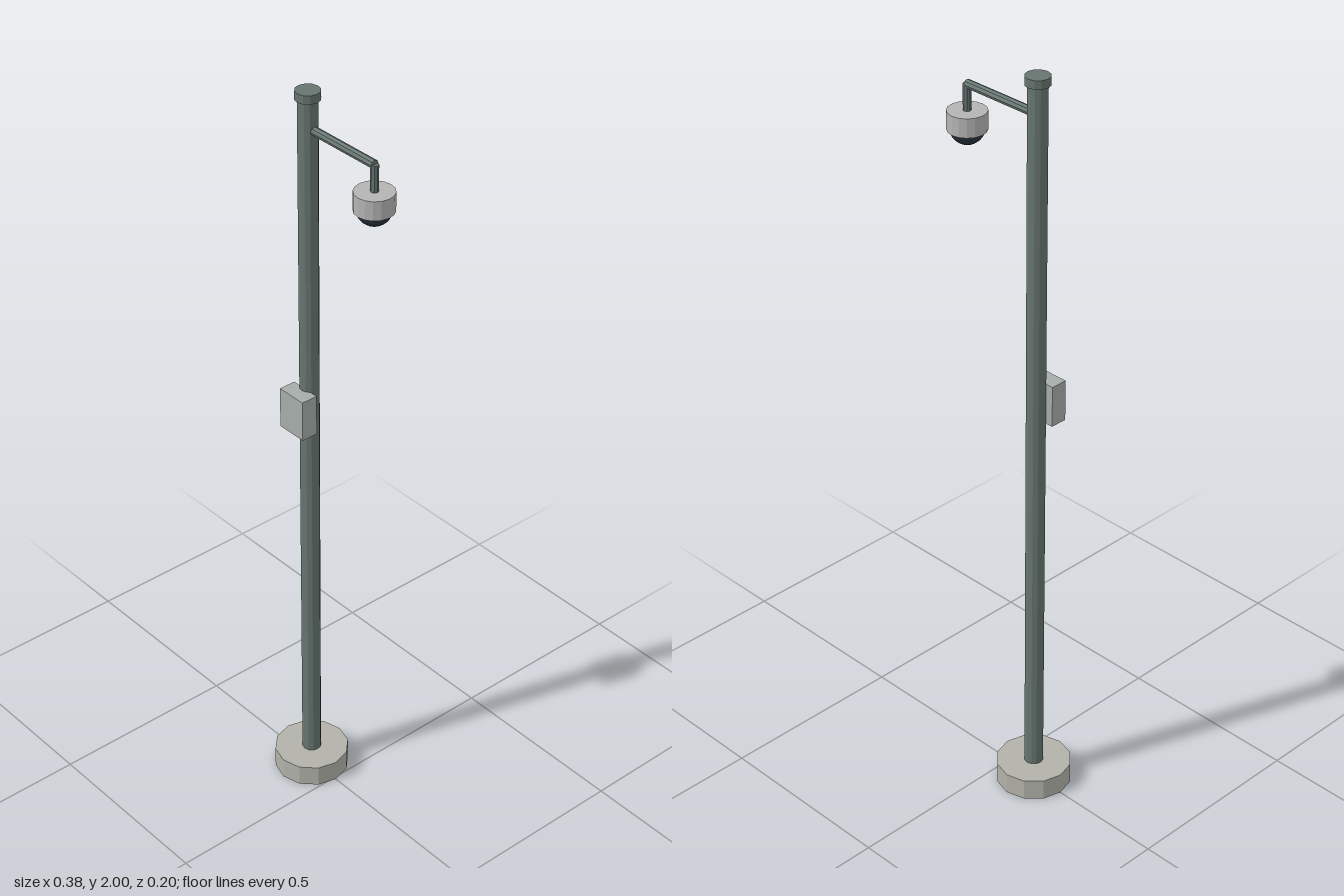
import * as THREE from 'three';

const POLE_X = -0.091;
const CAM_X = 0.138;

export function createModel() {
  const model = new THREE.Group();
  const mat = (color) => new THREE.MeshStandardMaterial({ color, flatShading: true });
  const paint = mat(0x66756f);
  const concrete = mat(0xb2b2aa);
  const boxGrey = mat(0xa6adab);
  const shell = mat(0xb4b4b4);
  const glass = mat(0x26333f);

  const add = (name, geometry, material, x, y, z = 0) => {
    const mesh = new THREE.Mesh(geometry, material);
    mesh.name = name;
    mesh.position.set(x, y, z);
    model.add(mesh);
    return mesh;
  };
  // Upright cylinder between two heights
  const post = (name, r, y0, y1, sides, material, x) =>
    add(name, new THREE.CylinderGeometry(r, r, y1 - y0, sides), material, x, (y0 + y1) / 2);

  // Footing, pole and cap
  post('base', 0.098, 0, 0.058, 12, concrete, POLE_X);
  post('pole', 0.025, 0.05, 1.985, 12, paint, POLE_X);
  post('poleCap', 0.031, 1.978, 2, 12, paint, POLE_X);

  // Control box on the front of the pole
  add('controlBox', new THREE.BoxGeometry(0.084, 0.11, 0.045), boxGrey, POLE_X + 0.001, 1.145, 0.0365);

  // Side arm and drop tube
  const arm = add('arm', new THREE.CylinderGeometry(0.011, 0.011, CAM_X - POLE_X, 8),
    paint, (CAM_X + POLE_X) / 2, 1.905);
  arm.rotation.z = Math.PI / 2;
  post('dropTube', 0.01, 1.83, 1.905, 8, paint, CAM_X);

  // Camera housing with a dark dome beneath
  post('cameraHousing', 0.049, 1.789, 1.838, 16, shell, CAM_X);
  add('cameraDome',
    new THREE.SphereGeometry(0.044, 16, 6, 0, Math.PI * 2, Math.PI / 2, Math.PI / 2),
    glass, CAM_X, 1.797);

  return model;
}
